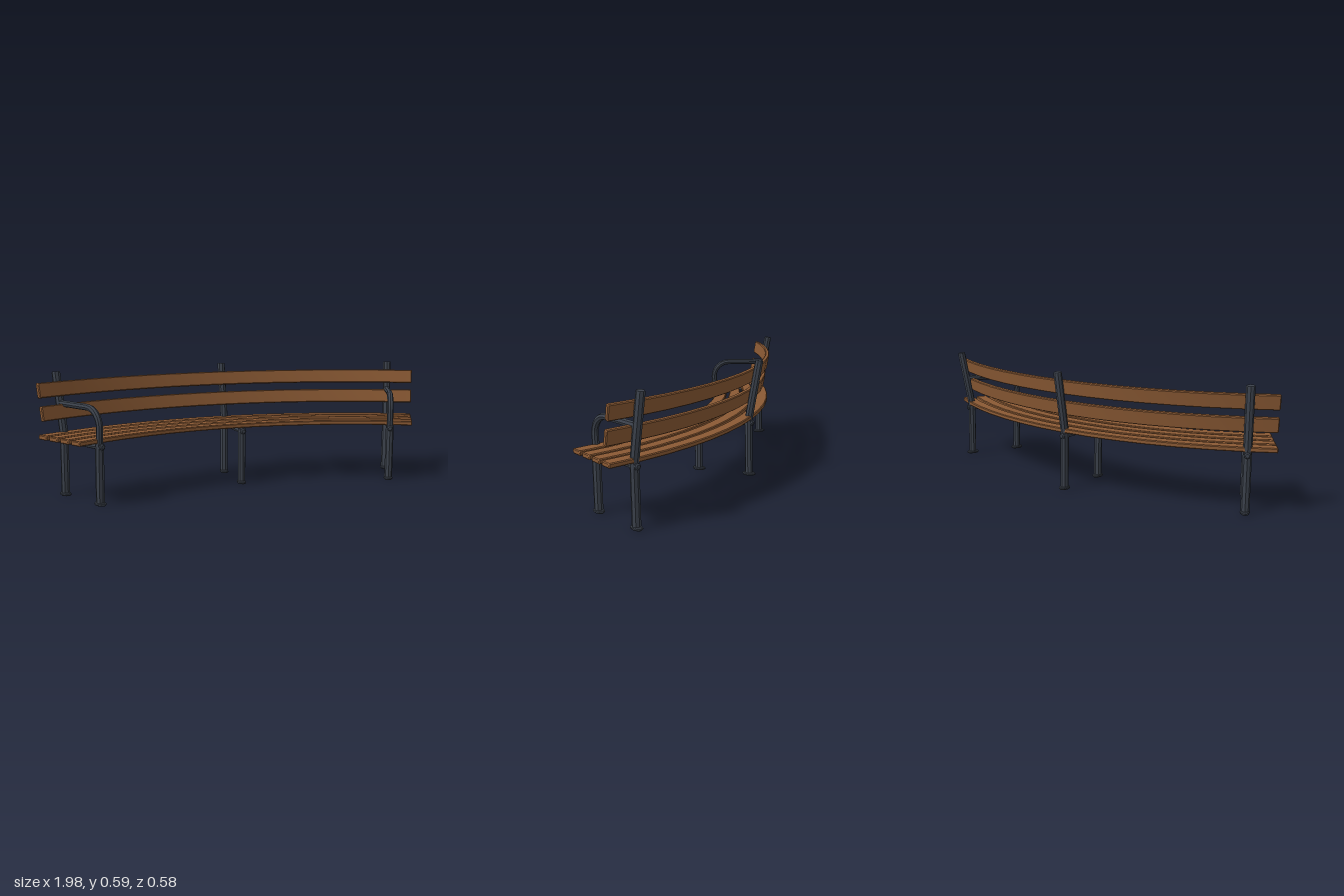
import * as THREE from 'three';
import { toCreasedNormals } from 'three/addons/utils/BufferGeometryUtils.js';

const CENTRE_Z = 1.69;                              // centre of the bench's arc, in front of it
const HALF_ANGLE = THREE.MathUtils.degToRad(30.9);  // half sweep of the slats
const FRAME_ANGLE = THREE.MathUtils.degToRad(27);   // position of the end frames

const wood = new THREE.MeshStandardMaterial({ color: 0x8b5a34 });
wood.name = 'wood';
const metal = new THREE.MeshStandardMaterial({ color: 0x3b414b });
metal.name = 'darkMetal';

// Skin a closed solid over a list of rings (each counter-clockwise about the path)
function loft(rings) {
  const n = rings[0].length;
  const index = [];
  for (let i = 0; i < rings.length - 1; i++) {
    for (let j = 0; j < n; j++) {
      const k = (j + 1) % n;
      const a = i * n + j, b = i * n + k, c = b + n, d = a + n;
      index.push(a, b, c, a, c, d);
    }
  }
  const last = (rings.length - 1) * n;
  for (let j = 1; j < n - 1; j++) {
    index.push(0, j + 1, j, last, last + j, last + j + 1);
  }
  const geo = new THREE.BufferGeometry().setFromPoints(rings.flat());
  geo.setIndex(index);
  return toCreasedNormals(geo, 0.4);
}

function addMesh(parent, name, geo, material) {
  const mesh = new THREE.Mesh(geo, material);
  mesh.name = name;
  parent.add(mesh);
}

// Curved plank: centre radius r and height y, section w (radial) by h, leaning back by tilt
function slat(r, y, w, h, tilt) {
  const section = (inset) => {
    const a = w / 2 - inset, b = h / 2 - inset, c = 0.004;
    return [[a, -b + c], [a, b - c], [a - c, b], [-a + c, b],
      [-a, b - c], [-a, -b + c], [-a + c, -b], [a - c, -b]];
  };
  const ring = (angle, inset) => section(inset).map(([p, q]) => {
    const rr = r + p * Math.cos(tilt) + q * Math.sin(tilt);
    const yy = y - p * Math.sin(tilt) + q * Math.cos(tilt);
    return new THREE.Vector3(rr * Math.sin(angle), yy, CENTRE_Z - rr * Math.cos(angle));
  });
  const steps = 14, bevel = 0.002;
  const rings = [ring(-HALF_ANGLE, 0.004)];
  for (let i = 0; i <= steps; i++) {
    rings.push(ring((HALF_ANGLE - bevel) * (2 * i / steps - 1), 0));
  }
  rings.push(ring(HALF_ANGLE, 0.004));
  return loft(rings);
}

// Octagonal tube in a frame's plane through [radius from arc centre, height, thickness] points
function tube(points, stretch = 1) {
  const path = points.map(([r, y]) => new THREE.Vector3(0, y, -r));
  const u = new THREE.Vector3(1, 0, 0);
  const rings = path.map((p, i) => {
    const before = path[Math.max(i - 1, 0)];
    const after = path[Math.min(i + 1, path.length - 1)];
    const t = after.clone().sub(before).normalize();
    const v = t.cross(u);
    return Array.from({ length: 8 }, (_, j) => {
      const a = j * Math.PI / 4, s = points[i][2];
      return p.clone().addScaledVector(u, s * Math.cos(a))
        .addScaledVector(v, s * stretch * Math.sin(a));
    });
  });
  return loft(rings);
}

function foot(r) {
  return tube([[r, 0, 0.019], [r, 0.004, 0.022], [r, 0.01, 0.022], [r, 0.014, 0.019]], 1.55);
}

function makeFrame(angle, hasArm) {
  const frame = new THREE.Group();
  frame.name = hasArm ? 'endFrame' : 'middleFrame';
  frame.position.z = CENTRE_Z;
  frame.rotation.y = -angle;

  // Rear leg bends into the leaning back post
  addMesh(frame, 'rearPost', tube([[1.918, 0.008, 0.02], [1.913, 0.29, 0.02],
    [1.963, 0.584, 0.02], [1.9635, 0.588, 0.018]]), metal);
  addMesh(frame, 'rearFoot', foot(1.918), metal);
  addMesh(frame, 'frontLeg', tube([[1.647, 0.008, 0.02], [1.642, 0.284, 0.02]]), metal);
  addMesh(frame, 'frontFoot', foot(1.647), metal);

  // Seat bearer with rounded ends poking past the legs
  addMesh(frame, 'seatBearer', tube([[1.614, 0.271, 0.009], [1.619, 0.271, 0.015],
    [1.936, 0.271, 0.015], [1.941, 0.271, 0.009]]), metal);

  // Armrest rises from the front leg and curves back to the post
  if (hasArm) {
    const bend = 0.085, front = 1.637, top = 0.441;
    const points = [[1.642, 0.27, 0.0165]];
    for (let i = 0; i <= 6; i++) {
      const a = i * Math.PI / 12;
      points.push([front + bend * (1 - Math.cos(a)), top - bend * (1 - Math.sin(a)), 0.0155]);
    }
    points.push([1.935, top, 0.0155]);
    addMesh(frame, 'armrest', tube(points), metal);
  }
  return frame;
}

export function createModel() {
  const bench = new THREE.Group();
  bench.name = 'curvedBench';

  // Four seat slats
  for (let i = 0; i < 4; i++) {
    addMesh(bench, 'seatSlat', slat(1.667 + i * 0.0775, 0.297, 0.06, 0.022, 0), wood);
  }

  // Two leaning backrest slats in front of the posts
  const lean = 0.17;
  addMesh(bench, 'lowerBackSlat', slat(1.902, 0.406, 0.022, 0.07, lean), wood);
  addMesh(bench, 'upperBackSlat', slat(1.921, 0.511, 0.022, 0.07, lean), wood);

  // Middle frame and the two end frames
  bench.add(makeFrame(0, false));
  for (const side of [-1, 1]) bench.add(makeFrame(side * FRAME_ANGLE, true));
  return bench;
}
